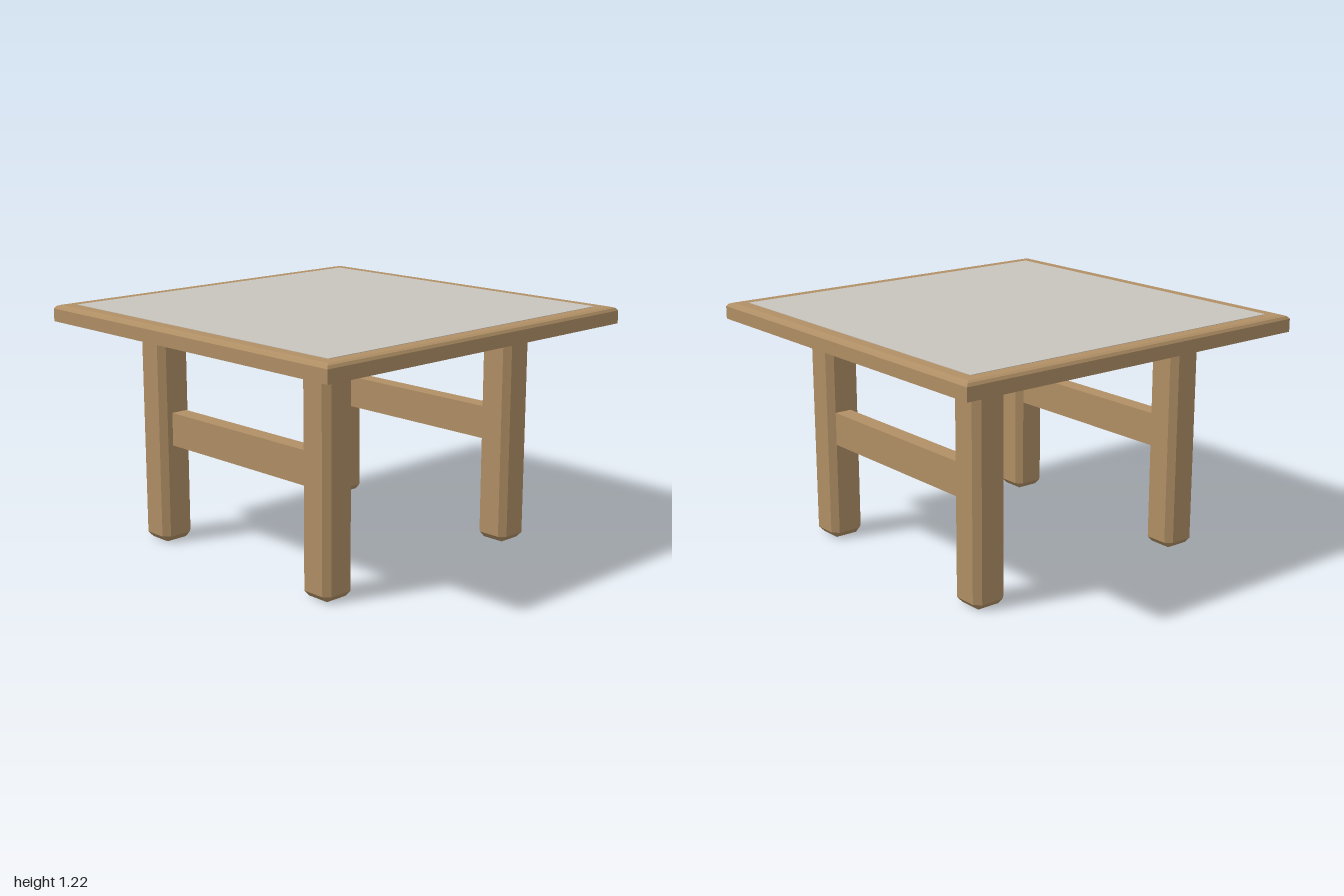
import * as THREE from 'three';

// Ring of eight points: a square with cut corners, counter-clockwise from above
function ring(half, cut, y) {
  const h = half, c = half - cut;
  return [[h, c], [h, -c], [c, -h], [-c, -h], [-h, -c], [-h, c], [-c, h], [c, h]]
    .map(([x, z]) => new THREE.Vector3(x, y, z));
}

// Closed faceted solid through rings stacked from bottom to top
function loft(rings) {
  const pos = [];
  const tri = (a, b, c) => {
    if (a.equals(b) || b.equals(c) || a.equals(c)) return;
    for (const p of [a, b, c]) pos.push(p.x, p.y, p.z);
  };
  const n = rings[0].length, top = rings[rings.length - 1], bottom = rings[0];
  for (let r = 0; r < rings.length - 1; r++) {
    for (let i = 0; i < n; i++) {
      const j = (i + 1) % n, lo = rings[r], hi = rings[r + 1];
      tri(lo[i], lo[j], hi[j]);
      tri(lo[i], hi[j], hi[i]);
    }
  }
  const topMid = new THREE.Vector3(0, top[0].y, 0);
  const bottomMid = new THREE.Vector3(0, bottom[0].y, 0);
  for (let i = 0; i < n; i++) {
    const j = (i + 1) % n;
    tri(topMid, top[i], top[j]);
    tri(bottomMid, bottom[j], bottom[i]);
  }
  const geo = new THREE.BufferGeometry();
  geo.setAttribute('position', new THREE.Float32BufferAttribute(pos, 3));
  geo.computeVertexNormals();
  return geo;
}

export function createModel() {
  const group = new THREE.Group();
  group.name = 'table';
  const wood = new THREE.MeshStandardMaterial({ color: 0xb08f65 });
  wood.name = 'wood';
  const panel = new THREE.MeshStandardMaterial({ color: 0xc8c5be });
  panel.name = 'pale grey panel';

  const add = (name, geo, mat, x, y, z) => {
    const mesh = new THREE.Mesh(geo, mat);
    mesh.name = name;
    mesh.position.set(x, y, z);
    group.add(mesh);
  };

  // Tabletop with a small two-step bevel along the upper edge
  add('tabletop', loft([
    ring(1, 0, 1.13), ring(1, 0, 1.195), ring(0.99, 0, 1.208), ring(0.972, 0, 1.214),
  ]), wood, 0, 0, 0);

  // Thin inlay set on the top
  add('topPanel', new THREE.BoxGeometry(1.83, 0.004, 1.83), panel, 0, 1.214, 0);

  // Chamfered legs and the rails joining front and back legs
  const legGeo = loft([ring(0.06, 0, 0), ring(0.091, 0.031, 0.032), ring(0.091, 0.031, 1.13)]);
  const railGeo = new THREE.BoxGeometry(0.09, 0.17, 1.03);
  for (const [side, sx] of [['left', 1], ['right', -1]]) {
    add(side + 'FrontLeg', legGeo, wood, sx * 0.62, 0, 0.597);
    add(side + 'BackLeg', legGeo, wood, sx * 0.62, 0, -0.597);
    add(side + 'Rail', railGeo, wood, sx * 0.62 + 0.015, 0.597, 0);
  }
  return group;
}
